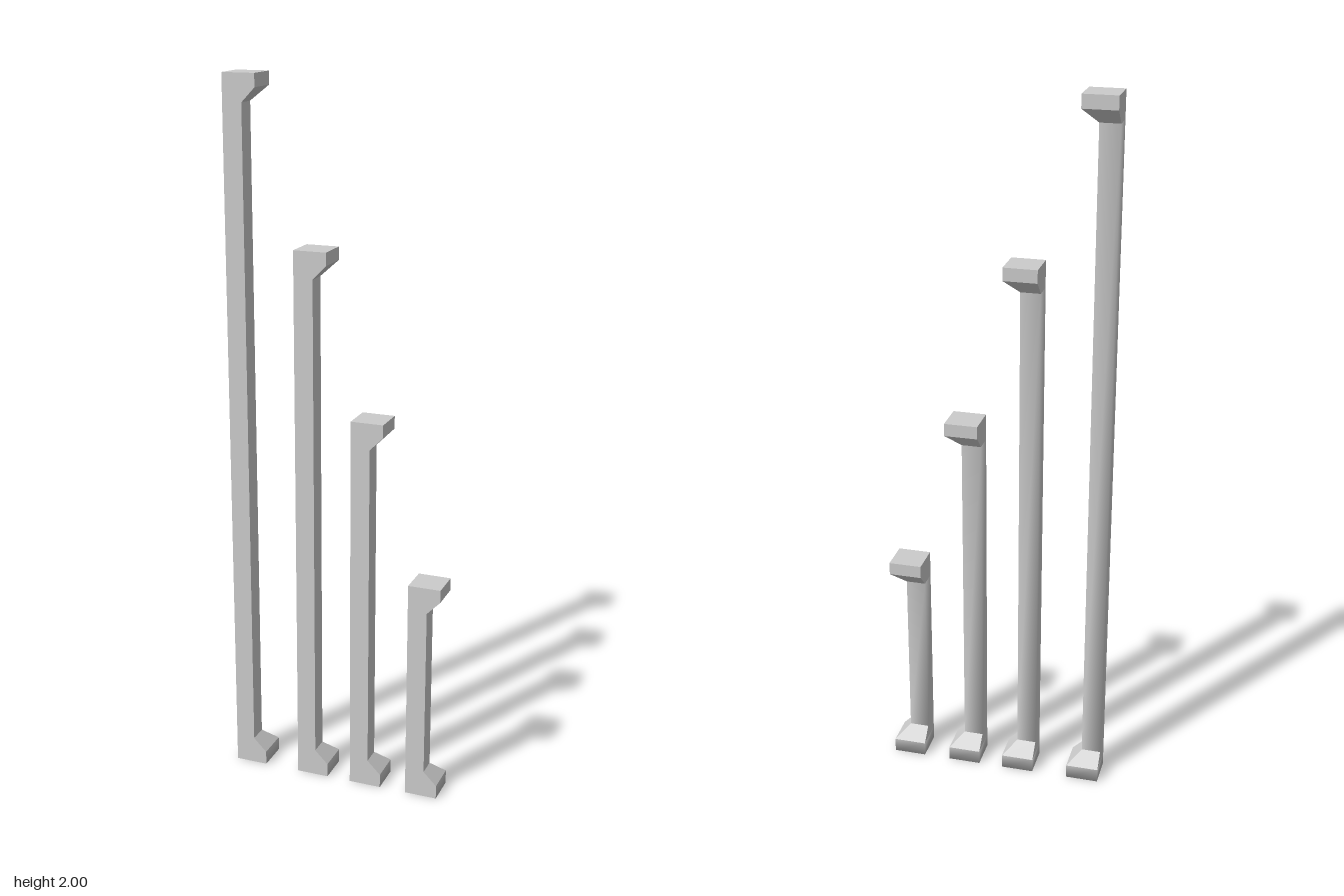
import * as THREE from 'three';

const WIDE = 0.093;   // width of base and capital
const SLIM = 0.055;   // width of the shaft
const FRONT = 0.0465; // z of the flush front face

const material = new THREE.MeshStandardMaterial({ color: 0xcccccc });

// Square section that keeps its front-left corner fixed and grows to the back right.
function section(size, y) {
  return [[0, y, FRONT], [0, y, FRONT - size], [size, y, FRONT - size], [size, y, FRONT]];
}

function geometry(points, index, smooth) {
  let geo = new THREE.BufferGeometry();
  geo.setAttribute('position', new THREE.Float32BufferAttribute(points.flat(), 3));
  geo.setIndex(index);
  if (!smooth) geo = geo.toNonIndexed();
  geo.computeVertexNormals();
  return geo;
}

// One storey of a post between two sections; smooth ones round the shading of sides and back.
function addBand(group, name, low, high, { smooth = false, top = false, bottom = false } = {}) {
  const points = [...low, ...high];
  const wrap = [];
  for (let i = 0; i < 3; i++) {
    const j = i + 1;
    wrap.push(j, i, i + 4, j, i + 4, j + 4);
  }
  if (bottom) wrap.push(0, 1, 2, 0, 2, 3);
  if (top) wrap.push(4, 7, 6, 4, 6, 5);
  const band = new THREE.Group();
  band.name = name;
  const sides = new THREE.Mesh(geometry(points, wrap, smooth), material);
  sides.name = name + 'Sides';
  const front = new THREE.Mesh(geometry(points, [0, 3, 7, 0, 7, 4], false), material);
  front.name = name + 'Front';
  band.add(sides, front);
  group.add(band);
}

function createPost(height) {
  const post = new THREE.Group();
  const s = [
    section(WIDE, 0),
    section(WIDE, 0.04),
    section(SLIM, 0.078),
    section(SLIM, height - 0.075),
    section(WIDE, height - 0.036),
    section(WIDE, height),
  ];
  addBand(post, 'base', s[0], s[1], { smooth: true, bottom: true });
  addBand(post, 'baseSlope', s[1], s[2]);
  addBand(post, 'shaft', s[2], s[3], { smooth: true });
  addBand(post, 'capitalSlope', s[3], s[4]);
  addBand(post, 'capital', s[4], s[5], { top: true });
  return post;
}

export function createModel() {
  const model = new THREE.Group();
  model.name = 'cornerPosts';
  // Left edge and height of each post
  const posts = [[-0.311, 2], [-0.115, 1.55], [0.048, 1.097], [0.218, 0.645]];
  posts.forEach(([x, height], i) => {
    const post = createPost(height);
    post.name = 'post' + (i + 1);
    post.position.x = x;
    model.add(post);
  });
  return model;
}
